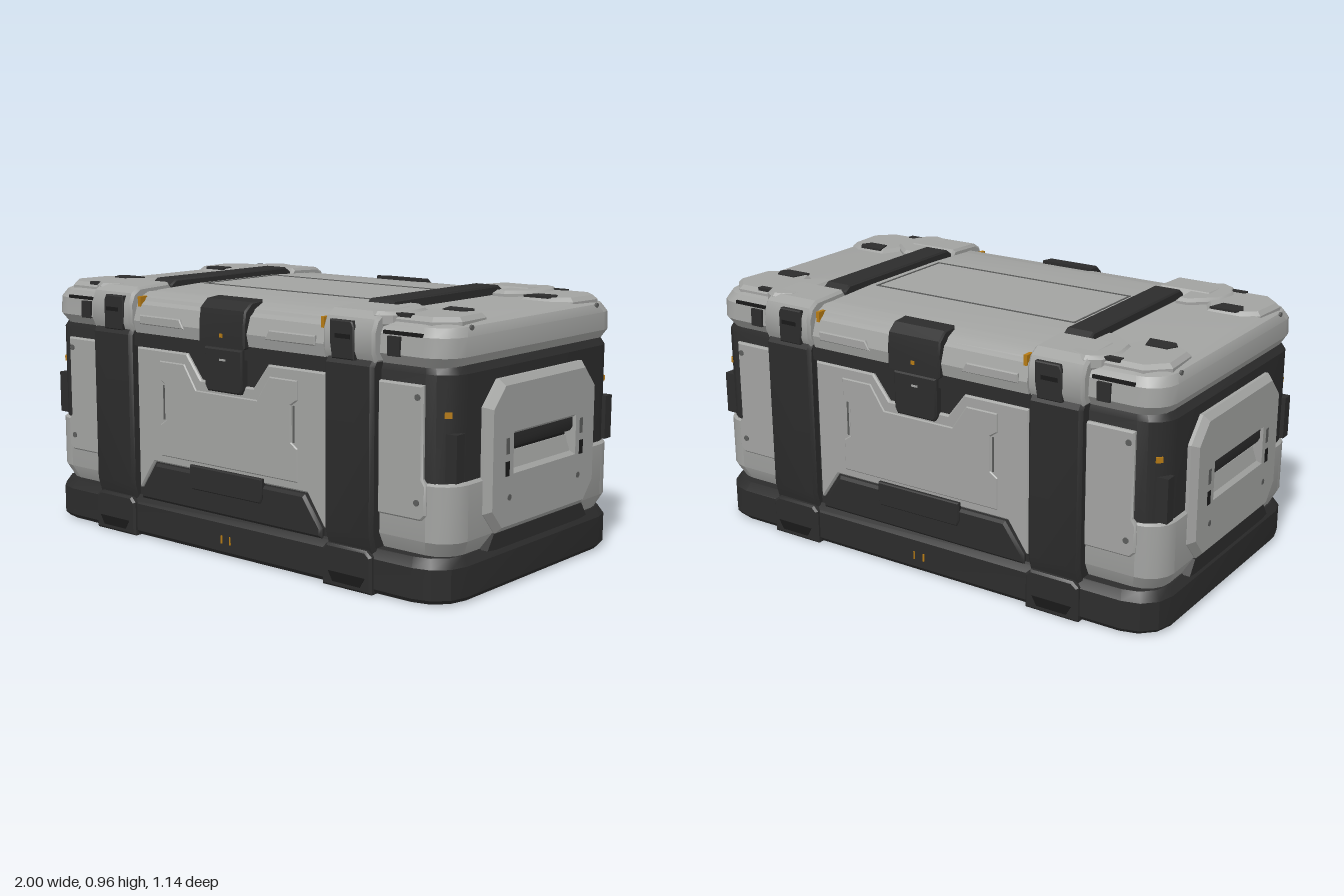
import * as THREE from 'three';
import { toCreasedNormals } from 'three/addons/utils/BufferGeometryUtils.js';

const material = (name, color) => Object.assign(new THREE.MeshStandardMaterial({ color }), { name });

// Stack of rounded rectangles: each ring is [y, halfX, halfZ, cornerRadius]
function loft(rings, steps = 4) {
  const pos = [], idx = [], n = 4 * (steps + 1);
  for (const [y, hx, hz, r] of rings)
    for (let q = 0; q < 4; q++)
      for (let s = 0; s <= steps; s++) {
        const a = (q + s / steps) * Math.PI / 2;
        const sx = q === 0 || q === 3 ? 1 : -1, sz = q < 2 ? 1 : -1;
        pos.push(sx * (hx - r) + r * Math.cos(a), y, sz * (hz - r) + r * Math.sin(a));
      }
  const top = rings.length - 1, bottomMid = rings.length * n, topMid = bottomMid + 1;
  pos.push(0, rings[0][0], 0, 0, rings[top][0], 0);
  for (let i = 0; i < n; i++) {
    const j = (i + 1) % n;
    for (let k = 0; k < top; k++) {
      const a = k * n + i, b = k * n + j;
      idx.push(a, a + n, b, b, a + n, b + n);
    }
    idx.push(bottomMid, i, j, topMid, top * n + j, top * n + i);
  }
  const g = new THREE.BufferGeometry();
  g.setAttribute('position', new THREE.Float32BufferAttribute(pos, 3));
  g.setIndex(idx);
  return g;
}

// Bevelled slab from an outline, between depth z0 and z1
function slab(points, z0, z1, bevel = 0, hole) {
  const shape = new THREE.Shape(points.map(p => new THREE.Vector2(...p)));
  if (hole) shape.holes.push(new THREE.Path(hole.map(p => new THREE.Vector2(...p))));
  const g = new THREE.ExtrudeGeometry(shape, {
    depth: z1 - z0 - 2 * bevel, bevelEnabled: bevel > 0, bevelThickness: bevel,
    bevelSize: bevel, bevelOffset: -bevel, bevelSegments: 1,
  });
  return g.translate(0, 0, z0 + bevel);
}
const rect = (x0, x1, y0, y1) => [[x0, y0], [x1, y0], [x1, y1], [x0, y1]];
const mirrored = half => [...half, ...half.map(([x, y]) => [-x, y]).reverse()];
const front = slab;                                                   // outline in x, y
const end = (pts, ...a) =>                                            // outline in z, y
  slab(pts.map(([z, y]) => [-z, y]), ...a).rotateY(Math.PI / 2);
const plan = (pts, ...a) =>                                           // outline in x, z
  slab(pts.map(([x, z]) => [x, -z]), ...a).rotateX(-Math.PI / 2);
const box = (x0, x1, y0, y1, z0, z1) =>
  new THREE.BoxGeometry(x1 - x0, y1 - y0, z1 - z0).translate((x0 + x1) / 2, (y0 + y1) / 2, (z0 + z1) / 2);

// Mirror a non-indexed geometry and keep its faces outward
function flip(geo, sx, sz) {
  const g = geo.clone();
  for (const key of ['position', 'normal']) {
    const a = g.attributes[key];
    for (let i = 0; i < a.count; i++) a.setXYZ(i, a.getX(i) * sx, a.getY(i), a.getZ(i) * sz);
    if (sx * sz < 0)
      for (let i = 0; i < a.count; i += 3) {
        const p = [a.getX(i + 1), a.getY(i + 1), a.getZ(i + 1)];
        a.setXYZ(i + 1, a.getX(i + 2), a.getY(i + 2), a.getZ(i + 2));
        a.setXYZ(i + 2, ...p);
      }
  }
  return g;
}

export function createModel() {
  const root = new THREE.Group();
  root.name = 'storageCrate';
  const grey = material('lightGrey', 0xa2a3a1), dark = material('charcoal', 0x2c2c2c);
  const black = material('recessBlack', 0x191919), seam = material('seamGrey', 0x5c5d5c);
  const amber = material('amberMark', 0xb57a14);

  // mirror: '' once, 'x' both ends, 'z' both faces, 'xz' all four corners
  function add(name, geo, mat, mirror = '') {
    geo.deleteAttribute('uv');
    const base = toCreasedNormals(geo, 0.5);
    for (const sx of mirror.includes('x') ? [1, -1] : [1])
      for (const sz of mirror.includes('z') ? [1, -1] : [1]) {
        const mesh = new THREE.Mesh(flip(base, sx, sz), mat);
        mesh.name = name + (mirror.includes('x') ? (sx > 0 ? 'Left' : 'Right') : '')
          + (mirror.includes('z') ? (sz > 0 ? 'Front' : 'Back') : '');
        root.add(mesh);
      }
  }

  // Main shells
  add('base', loft([[0.005, 0.965, 0.54, 0.13], [0.02, 0.975, 0.55, 0.13],
    [0.125, 0.975, 0.55, 0.13], [0.158, 0.955, 0.53, 0.12]], 3), dark);
  add('lowerShell', loft([[0.15, 0.945, 0.49, 0.09], [0.21, 0.975, 0.52, 0.1],
    [0.4, 0.975, 0.52, 0.1], [0.41, 0.965, 0.51, 0.1]]), grey);
  add('upperBody', loft([[0.3, 0.965, 0.513, 0.1], [0.765, 0.965, 0.513, 0.1],
    [0.795, 0.945, 0.5, 0.09]]), dark);
  add('lid', loft([[0.785, 0.945, 0.505, 0.09], [0.82, 0.965, 0.53, 0.1],
    [0.885, 0.965, 0.525, 0.1], [0.915, 0.95, 0.505, 0.1], [0.932, 0.915, 0.47, 0.09]]), grey);

  // Middle of the lid
  add('lidCentre', end(mirrored([[0.54, 0.785], [0.55, 0.83], [0.53, 0.89], [0.49, 0.92],
    [0.42, 0.935], [0.2, 0.943]]), -0.465, 0.465), grey);
  add('lidPanelSeam', box(-0.44, 0.44, 0.94, 0.946, 0.196, 0.202), seam, 'z');
  add('lidSideSeam', box(0.432, 0.438, 0.94, 0.946, -0.2, 0.2), seam, 'x');
  add('lidLip', front([[0.2, 0.82], [0.43, 0.82], [0.43, 0.855], [0.22, 0.855]], 0.54, 0.555, 0.004), grey, 'xz');

  // Raised corners of the lid
  add('lidCorner', plan([[0.6, 0.3], [0.7, 0.3], [0.74, 0.225], [0.87, 0.225], [0.93, 0.27],
    [0.94, 0.42], [0.87, 0.49], [0.6, 0.49]], 0.9, 0.946, 0.015), grey, 'xz');
  add('cornerInset', plan([[0.75, 0.225], [0.85, 0.225], [0.87, 0.255], [0.85, 0.295], [0.77, 0.295]],
    0.942, 0.95), dark, 'xz');
  add('cornerClip', box(0.725, 0.775, 0.815, 0.88, 0.5, 0.537), dark, 'xz');
  add('cornerClipTop', box(0.72, 0.78, 0.938, 0.95, 0.46, 0.485), dark, 'xz');
  add('lidEdgeStrip', box(0.7, 0.86, 0.884, 0.896, 0.49, 0.526), black, 'xz');

  // Shoulders around the strap tops
  add('shoulder', end([[0.5, 0.785], [0.545, 0.785], [0.562, 0.82], [0.562, 0.89], [0.545, 0.93],
    [0.51, 0.952], [0.36, 0.958], [0.335, 0.925], [0.335, 0.88]], 0.47, 0.69, 0.01), grey, 'xz');
  add('shoulderWing', plan([[0.6, 0.25], [0.65, 0.25], [0.74, 0.33], [0.755, 0.42], [0.72, 0.5],
    [0.67, 0.53], [0.59, 0.5]], 0.9, 0.954, 0.012), grey, 'xz');
  add('topRail', end(mirrored([[0.345, 0.925], [0.345, 0.945], [0.315, 0.965]]), 0.475, 0.585, 0.006), dark, 'x');
  add('strapBuckle', front([[0.515, 0.79], [0.61, 0.79], [0.61, 0.9], [0.6, 0.92], [0.505, 0.92], [0.505, 0.85]],
    0.54, 0.568, 0.004), dark, 'xz');
  add('buckleSlot', box(0.53, 0.595, 0.86, 0.875, 0.56, 0.57), black, 'xz');

  // Straps and feet
  add('strap', end([[0.48, 0.12], [0.545, 0.14], [0.562, 0.2], [0.562, 0.775], [0.545, 0.8], [0.48, 0.8]],
    0.475, 0.685, 0.012), dark, 'xz');
  add('strapFoot', front([[0.47, 0], [0.685, 0], [0.685, 0.13], [0.66, 0.15], [0.49, 0.15], [0.47, 0.13]],
    0.5, 0.566, 0.008), dark, 'xz');
  add('footNotch', front([[0.52, 0.02], [0.64, 0.02], [0.66, 0.055], [0.5, 0.055]], 0.562, 0.568), black, 'xz');

  // Centre of the long faces
  add('centreFrame', box(-0.475, 0.475, 0.15, 0.785, 0.48, 0.525), dark, 'z');
  add('centreRim', box(-0.475, 0.475, 0.735, 0.785, 0.5, 0.54), dark, 'z');
  add('centrePanel', front(mirrored([[0.13, 0.64], [0.2, 0.73], [0.465, 0.73], [0.465, 0.19],
    [0.455, 0.19], [0.38, 0.3]]), 0.5, 0.538, 0.006), grey, 'z');
  add('innerPanel', front(mirrored([[0.15, 0.6], [0.21, 0.69], [0.34, 0.69], [0.34, 0.62], [0.31, 0.6],
    [0.31, 0.47], [0.34, 0.45], [0.34, 0.33]]), 0.53, 0.543, 0.004), grey, 'z');
  add('panelBracket', box(0.318, 0.324, 0.47, 0.6, 0.534, 0.541), seam, 'xz');
  add('lowerGuard', front(mirrored([[0.45, 0.15], [0.45, 0.185], [0.37, 0.295]]), 0.5, 0.546, 0.01), dark, 'z');
  add('lowerPlaque', front(mirrored([[0.17, 0.23], [0.18, 0.25], [0.18, 0.32]]), 0.53, 0.553, 0.004), dark, 'z');

  // Latches
  add('latchTop', end([[0.46, 0.9], [0.46, 0.945], [0.52, 0.94], [0.555, 0.91], [0.563, 0.86],
    [0.563, 0.775], [0.5, 0.775]], -0.112, 0.112, 0.006), dark, 'z');
  add('latchLower', front(mirrored([[0.08, 0.61], [0.092, 0.63], [0.092, 0.77]]), 0.5, 0.556, 0.006), dark, 'z');
  add('latchMark', box(-0.014, 0.014, 0.725, 0.732, 0.55, 0.559), grey, 'z');

  // Corner panels with screws
  add('cornerPanel', front([[0.68, 0.28], [0.86, 0.28], [0.88, 0.3], [0.88, 0.4], [0.865, 0.42],
    [0.865, 0.73], [0.68, 0.73]], 0.49, 0.528, 0.006), grey, 'xz');
  for (const y of [0.34, 0.69])
    add(y < 0.5 ? 'lowerPanelScrew' : 'upperPanelScrew',
      new THREE.CylinderGeometry(0.011, 0.011, 0.008, 10).rotateX(Math.PI / 2)
        .translate(0.845, y, 0.528), seam, 'xz');
  add('cornerGrip', box(0.9, 0.974, 0.415, 0.575, 0.445, 0.488), dark, 'xz');

  // Carry handles in the ends
  add('endPlate', end(mirrored([[0.27, 0.205], [0.34, 0.285], [0.34, 0.645], [0.26, 0.73]]),
    0.94, 1.0, 0.022, rect(-0.175, 0.175, 0.425, 0.525)), grey, 'x');
  add('handleRecess', box(0.95, 0.968, 0.4, 0.55, -0.2, 0.2), black, 'x');
  add('handleBar', front([[0.96, 0.49], [0.985, 0.49], [0.992, 0.505], [0.992, 0.54], [0.96, 0.54]],
    -0.19, 0.19, 0.003), dark, 'x');
  add('handleSlope', front([[0.96, 0.4], [0.99, 0.4], [0.972, 0.475], [0.96, 0.475]], -0.18, 0.18), grey, 'x');
  add('endSlot', box(0.99, 1.002, 0.4, 0.45, 0.222, 0.245), black, 'xz');
  add('endGroove', box(0.995, 1.001, 0.475, 0.53, 0.222, 0.242), seam, 'xz');
  add('endScrew', new THREE.CylinderGeometry(0.011, 0.011, 0.008, 10).rotateZ(Math.PI / 2)
    .translate(0.998, 0.325, 0.218), seam, 'xz');
  add('endSill', end(mirrored([[0.265, 0.15], [0.315, 0.155], [0.28, 0.207]]), 0.94, 0.983), dark, 'x');
  add('lidEndScrew', new THREE.CylinderGeometry(0.009, 0.009, 0.008, 10).rotateZ(Math.PI / 2)
    .translate(0.955, 0.912, 0.39), seam, 'xz');

  // Amber marks
  add('lidMark', box(0.442, 0.456, 0.882, 0.92, 0.5, 0.536), amber, 'xz');
  add('latchDot', box(-0.007, 0.007, 0.81, 0.824, 0.557, 0.566), amber, 'z');
  add('baseMark', box(0.018, 0.024, 0.05, 0.08, 0.545, 0.553), amber, 'xz');
  add('cornerMark', box(-0.012, 0.012, 0.625, 0.645, -0.003, 0.003).rotateY(Math.PI / 4)
    .translate(0.937, 0, 0.485), amber, 'xz');

  return root;
}
